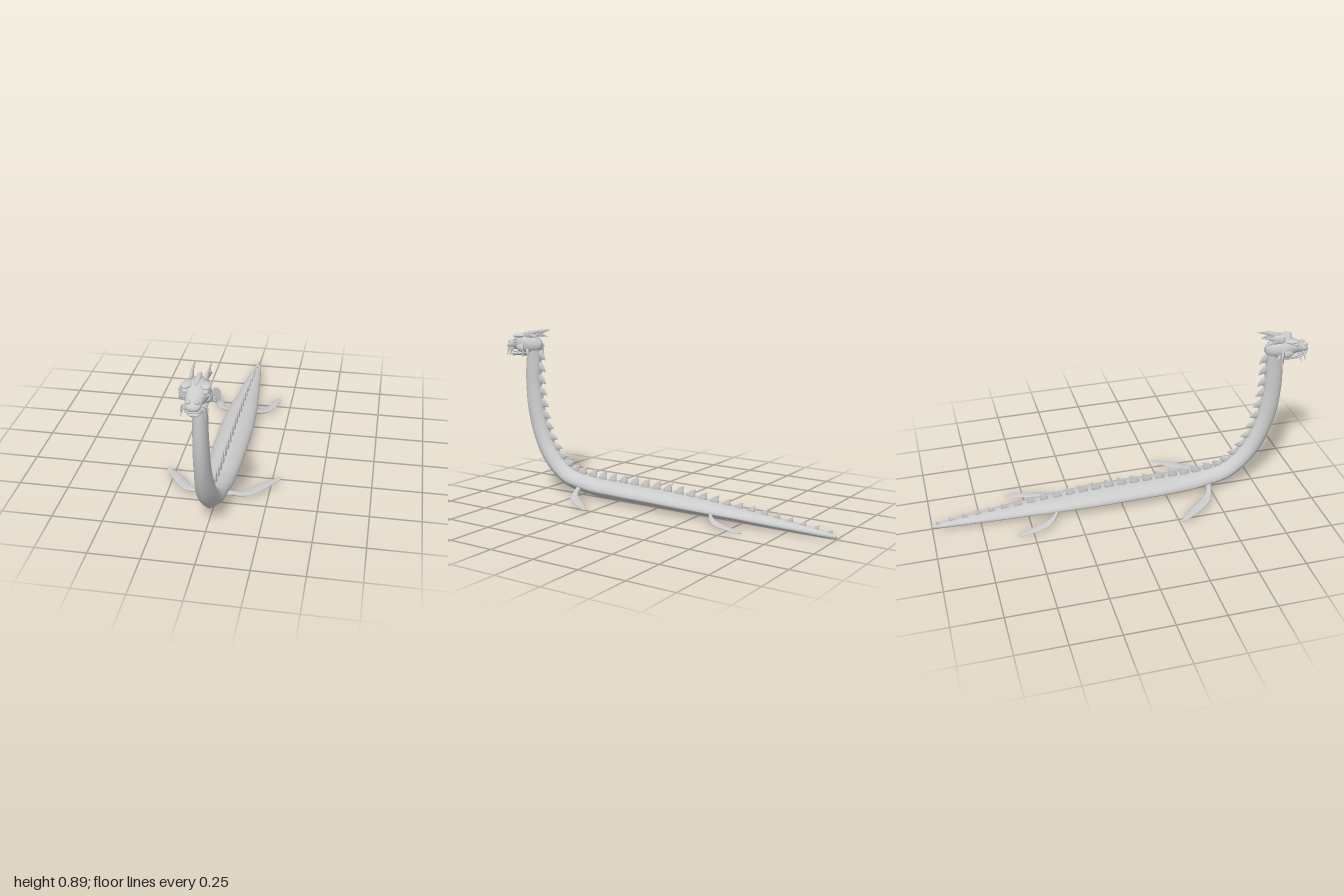
import * as THREE from 'three';

const V = (x, y, z) => new THREE.Vector3(x, y, z);
const X = V(1, 0, 0), Y = V(0, 1, 0);
const material = new THREE.MeshStandardMaterial({ color: 0xcccccc, side: THREE.DoubleSide });

// Ring of points around c; u cross v is the direction of travel. keel sharpens the -v half.
function ring(c, u, v, ru, rv, n, keel = 0) {
  return Array.from({ length: n }, (_, i) => {
    const a = (i / n) * Math.PI * 2, co = Math.cos(a);
    let s = Math.sin(a);
    if (s < 0) s = s * (1 - keel) - (1 - Math.abs(co)) * keel;
    return c.clone().addScaledVector(u, ru * co).addScaledVector(v, rv * s);
  });
}

// Smooth closed skin over a list of rings
function loft(rings) {
  const n = rings[0].length, pos = [], idx = [];
  const centre = (r) => r.reduce((s, p) => s.add(p), V(0, 0, 0)).divideScalar(n);
  rings.flat().forEach((p) => pos.push(p.x, p.y, p.z));
  for (let i = 0; i < rings.length - 1; i++)
    for (let j = 0; j < n; j++) {
      const a = i * n + j, b = i * n + ((j + 1) % n);
      idx.push(a, b, a + n, b, b + n, a + n);
    }
  const last = rings.length - 1, s = pos.length / 3;
  for (const r of [rings[0], rings[last]]) pos.push(...centre(r).toArray());
  for (let j = 0; j < n; j++) {
    const k = (j + 1) % n;
    idx.push(s, k, j, s + 1, last * n + j, last * n + k);
  }
  const g = new THREE.BufferGeometry();
  g.setAttribute('position', new THREE.Float32BufferAttribute(pos, 3));
  g.setIndex(idx);
  g.computeVertexNormals();
  return g;
}

function add(parent, name, geometry) {
  const m = new THREE.Mesh(geometry, material);
  m.name = name;
  parent.add(m);
  return m;
}

// One part on the left and its mirror on the right
function pair(parent, name, geometry) {
  add(parent, name + 'Left', geometry);
  add(parent, name + 'Right', geometry).scale.x = -1;
}

const ellipsoid = (x, y, z, rx, ry, rz) =>
  new THREE.SphereGeometry(1, 20, 14).scale(rx, ry, rz).translate(x, y, z);

// Tapering tube through points, radii from r0 to r1, flattened sideways by flat
function taper(points, r0, r1, flat = 1, steps = 10) {
  const curve = new THREE.CatmullRomCurve3(points.map((p) => V(...p)));
  return loft(Array.from({ length: steps + 1 }, (_, i) => {
    const t = i / steps, d = curve.getTangent(t);
    const ref = Math.abs(d.x) > 0.9 ? V(0, 0, 1) : X;
    const v = d.clone().cross(ref).normalize(), u = v.clone().cross(d);
    const r = r0 + (r1 - r0) * t;
    return ring(curve.getPoint(t), u, v, r * flat, r, 8);
  }));
}

// Body stations from tail to head: z, y, half width, half height, keel
const stations = [
  [-1, 0.018, 0.006, 0.008, 0], [-0.96, 0.02, 0.016, 0.014, 0.1], [-0.8, 0.028, 0.036, 0.023, 0.3],
  [-0.6, 0.037, 0.057, 0.032, 0.5], [-0.4, 0.046, 0.077, 0.039, 0.6], [-0.1, 0.054, 0.091, 0.048, 0.6],
  [0.2, 0.058, 0.088, 0.051, 0.6], [0.42, 0.062, 0.074, 0.052, 0.6], [0.595, 0.097, 0.059, 0.053, 0.5],
  [0.715, 0.205, 0.05, 0.053, 0.3], [0.79, 0.36, 0.04, 0.051, 0.1], [0.824, 0.55, 0.036, 0.048, 0],
  [0.825, 0.7, 0.034, 0.046, 0], [0.815, 0.81, 0.033, 0.038, 0],
];
const spine = new THREE.CatmullRomCurve3(stations.map((s) => V(0, s[1], s[0])));
const girth = new THREE.CatmullRomCurve3(stations.map((s) => V(s[2], s[3], s[4])));

function frame(t) {
  const d = spine.getTangent(t);
  return { c: spine.getPoint(t), d, up: V(0, d.z, -d.y), g: girth.getPoint(t) };
}

function buildBody(group) {
  const rings = [];
  for (let i = 0; i <= 100; i++) {
    const { c, up, g } = frame(i / 100);
    rings.push(ring(c, X, up, g.x, g.y, 32, g.z));
  }
  add(group, 'body', loft(rings));
}

// Row of hooked fins whose tips sweep toward the tail
function buildBackFins(group) {
  const row = new THREE.Group();
  row.name = 'backFins';
  const count = 34;
  for (let i = 0; i < count; i++) {
    const u = 0.015 + (i / (count - 1)) * 0.965;
    const { c, d, up, g } = frame(spine.getUtoTmapping(u));
    const grow = Math.min(1, 0.35 + u * 1.6);
    const h = grow * (u > 0.65 ? 0.04 : 0.046), len = 0.055 * Math.min(1, grow + 0.1);
    const base = c.clone().addScaledVector(up, g.y);
    const profile = [[0, -0.15, 0.5, 1], [0.06, 0.3, 0.43, 0.6], [0.2, 0.65, 0.3, 0.36],
      [0.36, 0.88, 0.17, 0.2], [0.56, 1, 0.02, 0.05]];
    add(row, 'backFin' + (i + 1), loft(profile.map(([back, y, l, w]) => ring(
      base.clone().addScaledVector(d, -back * len).addScaledVector(up, y * h),
      d, X, l * len, w * 0.011 * grow, 10))));
  }
  group.add(row);
}

// Paddle from rows of outer x, outer z, inner x, inner z, height
function flipper(rows) {
  return loft(rows.map(([ox, oz, ix, iz, y], i) => {
    const u = V(ix - ox, 0, iz - oz).multiplyScalar(0.5);
    const thick = 0.012 * (1 - i / rows.length) ** 2 + 0.002;
    return ring(V((ox + ix) / 2, y, (oz + iz) / 2), u, Y, 1, thick, 12);
  }));
}

function buildFlippers(group) {
  pair(group, 'frontFlipper', flipper([
    [0.05, 0.5, 0.05, 0.46, 0.052], [0.085, 0.485, 0.08, 0.46, 0.045], [0.125, 0.474, 0.112, 0.443, 0.035],
    [0.165, 0.457, 0.135, 0.415, 0.03], [0.208, 0.413, 0.165, 0.378, 0.027], [0.245, 0.36, 0.2, 0.335, 0.025],
    [0.275, 0.31, 0.24, 0.293, 0.023], [0.296, 0.27, 0.278, 0.257, 0.021], [0.293, 0.259, 0.287, 0.256, 0.021]]));
  pair(group, 'rearFlipper', flipper([
    [0.06, -0.34, 0.06, -0.37, 0.042], [0.09, -0.358, 0.082, -0.372, 0.036], [0.127, -0.383, 0.104, -0.405, 0.026],
    [0.155, -0.415, 0.118, -0.445, 0.02], [0.173, -0.46, 0.132, -0.49, 0.017], [0.184, -0.52, 0.147, -0.535, 0.015],
    [0.19, -0.57, 0.167, -0.58, 0.012], [0.184, -0.585, 0.172, -0.587, 0.012]]));
}

function buildHead(group) {
  const head = new THREE.Group();
  head.name = 'head';
  // z, bottom, top, half width
  const section = (rows) => loft(rows.map(([z, b, t, w]) =>
    ring(V(0, (b + t) / 2, z), X, Y, w, (t - b) / 2, 24)));
  add(head, 'skull', section([
    [0.77, 0.785, 0.825, 0.014], [0.79, 0.768, 0.848, 0.034], [0.82, 0.758, 0.864, 0.05], [0.855, 0.755, 0.87, 0.058],
    [0.885, 0.76, 0.869, 0.057], [0.91, 0.768, 0.86, 0.051], [0.932, 0.774, 0.846, 0.042], [0.955, 0.776, 0.833, 0.037],
    [0.975, 0.776, 0.826, 0.036], [0.99, 0.779, 0.816, 0.03], [0.998, 0.785, 0.806, 0.018], [1, 0.791, 0.8, 0.006]]));
  add(head, 'lowerJaw', section([
    [0.83, 0.755, 0.785, 0.03], [0.86, 0.746, 0.782, 0.042], [0.9, 0.744, 0.77, 0.039],
    [0.94, 0.743, 0.764, 0.033], [0.965, 0.745, 0.763, 0.027], [0.98, 0.75, 0.761, 0.014]]));
  add(head, 'chinBarb', taper([[0, 0.752, 0.955], [0, 0.744, 0.968], [0, 0.737, 0.978]], 0.009, 0.002));
  add(head, 'crest', ellipsoid(0, 0.862, 0.85, 0.014, 0.016, 0.06));
  // Upper lip follows the muzzle
  add(head, 'upperLip', new THREE.TubeGeometry(new THREE.CatmullRomCurve3([
    V(-0.048, 0.768, 0.89), V(-0.038, 0.772, 0.94), V(-0.028, 0.777, 0.985), V(0, 0.78, 0.995),
    V(0.028, 0.777, 0.985), V(0.038, 0.772, 0.94), V(0.048, 0.768, 0.89)]), 30, 0.005, 8));
  pair(head, 'brow', ellipsoid(0, 0, 0, 0.024, 0.011, 0.036).rotateY(0.25).translate(0.04, 0.857, 0.892));
  pair(head, 'eye', ellipsoid(0.044, 0.837, 0.916, 0.013, 0.012, 0.012));
  pair(head, 'lowerLid', ellipsoid(0.046, 0.824, 0.91, 0.014, 0.006, 0.016));
  pair(head, 'cheek', ellipsoid(0.046, 0.793, 0.87, 0.018, 0.024, 0.034));
  pair(head, 'nostril', ellipsoid(0.018, 0.82, 0.978, 0.011, 0.01, 0.013));
  // Horns: blades swept back from the crown, with a small spur
  pair(head, 'horn', taper([[0.03, 0.856, 0.85], [0.034, 0.872, 0.815], [0.036, 0.884, 0.775], [0.033, 0.892, 0.733]],
    0.022, 0.002, 0.5));
  pair(head, 'hornSpur', taper([[0.034, 0.862, 0.82], [0.04, 0.86, 0.785], [0.042, 0.85, 0.757]], 0.014, 0.002, 0.5));
  // Whiskers beside the mouth
  for (const [i, z, x] of [[1, 0.965, 0.053], [2, 0.94, 0.06]])
    pair(head, 'whisker' + i, taper([[x - 0.025, 0.785, z], [x - 0.008, 0.782, z + 0.003],
      [x - 0.003, 0.765, z + 0.002], [x, 0.745, z + 0.008]], 0.007, 0.0015));
  // Ragged fins behind the cheeks
  const outline = [[0, 0.8], [0.012, 0.824], [0.034, 0.818], [0.046, 0.795], [0.043, 0.75], [0.036, 0.768],
    [0.03, 0.747], [0.025, 0.772], [0.014, 0.757], [0.013, 0.782]];
  const fin = new THREE.ExtrudeGeometry(new THREE.Shape(outline.map((p) => new THREE.Vector2(...p))),
    { depth: 0.004, bevelEnabled: true, bevelSize: 0.001, bevelThickness: 0.002, bevelSegments: 1 });
  pair(head, 'earFin', fin.rotateY(0.6).translate(0.052, 0, 0.85));
  pair(head, 'jawSpike', taper([[0.038, 0.785, 0.835], [0.05, 0.77, 0.825], [0.054, 0.747, 0.82]], 0.012, 0.002));
  group.add(head);
}

export function createModel() {
  const group = new THREE.Group();
  group.name = 'seaSerpent';
  buildBody(group);
  buildBackFins(group);
  buildFlippers(group);
  buildHead(group);
  return group;
}
